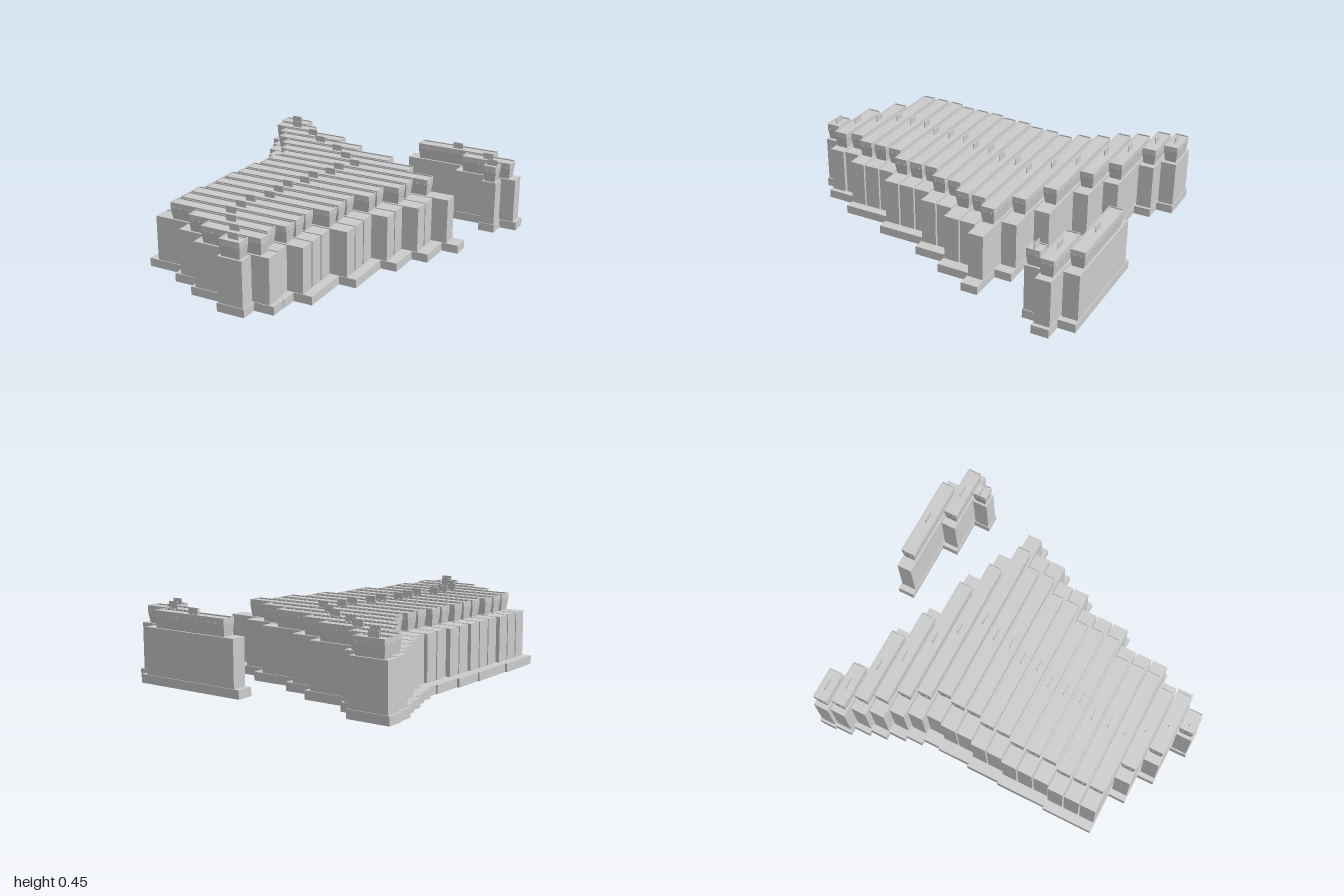
import * as THREE from 'three';

const mat = new THREE.MeshStandardMaterial({ color: 0xcccccc, flatShading: true, side: THREE.DoubleSide });

// Each entry: row index from the back, left edge and right edge of its plinth
const ROWS = [
  [0, -0.88, -0.625], [1, -0.87, -0.52], [2, -0.825, -0.215], [3, -0.80, -0.013],
  [4, -0.76, 0.293], [5, -0.737, 0.5], [6, -0.71, 0.70],
  [7, -0.72, 0.60], [8, -0.72, 0.60], [9, -0.737, 0.5], [10, -0.737, 0.5],
  [11, -0.747, 0.40], [12, -0.747, 0.40], [13, -0.747, 0.40],
  [14, -0.76, 0.293], [15, -0.76, 0.293], [16, -0.76, 0.293],
  [17, -0.515, 0.182], [18, -0.34, 0.18], [19, -0.108, 0.06],
  // detached corner group
  [0, 0.06, 0.765], [1, 0.437, 0.872], [2, 0.668, 0.768],
];

function add(group, name, geo, y = 0) {
  const mesh = new THREE.Mesh(geo, mat);
  mesh.name = name;
  mesh.position.y = y;
  group.add(mesh);
  return mesh;
}

// Box standing on y0, whose lower end can be pulled in by (dx, dz) per side
function block(w, d, y0, y1, dx = 0, dz = 0) {
  const geo = new THREE.BoxGeometry(w, y1 - y0, d).translate(0, (y0 + y1) / 2, 0);
  const p = geo.attributes.position;
  for (let i = 0; i < p.count; i++) {
    if (p.getY(i) > (y0 + y1) / 2) continue;
    p.setX(i, p.getX(i) - Math.sign(p.getX(i)) * dx);
    p.setZ(i, p.getZ(i) - Math.sign(p.getZ(i)) * dz);
  }
  return geo;
}

// Box without its underside
function openBox(w, d, h) {
  const geo = block(w, d, 0, h);
  const index = Array.from(geo.index.array);
  index.splice(18, 6);
  geo.setIndex(index);
  geo.clearGroups();
  return geo;
}

function roundedRect(path, w, d, r) {
  const x = w / 2, y = d / 2;
  path.moveTo(-x + r, -y);
  path.lineTo(x - r, -y);
  path.quadraticCurveTo(x, -y, x, -y + r);
  path.lineTo(x, y - r);
  path.quadraticCurveTo(x, y, x - r, y);
  path.lineTo(-x + r, y);
  path.quadraticCurveTo(-x, y, -x, y - r);
  path.lineTo(-x, -y + r);
  path.quadraticCurveTo(-x, -y, -x + r, -y);
  return path;
}

// Thin raised frame round the top of a slab
function rimFrame(w, d, h) {
  const shape = roundedRect(new THREE.Shape(), w, d, 0.006);
  shape.holes.push(roundedRect(new THREE.Path(), w - 0.01, d - 0.01, 0.004));
  return new THREE.ExtrudeGeometry(shape, { depth: h, bevelEnabled: false, curveSegments: 2 }).rotateX(-Math.PI / 2);
}

function makeSlab(w) {
  const slab = new THREE.Group();
  slab.name = 'slab';
  const topW = 0.697 * w + 0.012, topD = 0.084;

  add(slab, 'plinth', openBox(w, 0.1, 0.05));
  add(slab, 'body', block(w * 0.895, 0.09, 0.05, 0.317));
  add(slab, 'neck', block(topW - 0.002, topD - 0.002, 0.317, 0.385, 0.008, 0.008));
  add(slab, 'capFloor', block(topW - 0.008, topD - 0.008, 0.385, 0.409));
  add(slab, 'capRim', rimFrame(topW, topD, 0.031), 0.385);
  add(slab, 'topFin', block(0.064, 0.004, 0.409, 0.446));

  // Row of small studs under the rim, on all four sides
  const stud = new THREE.BoxGeometry(0.014, 0.006, 0.004);
  const count = Math.max(2, Math.round(topW / 0.045));
  for (const side of [-1, 1]) {
    for (let i = 0; i < count; i++) {
      const m = add(slab, 'rimStud', stud, 0.386);
      m.position.x = ((i + 0.5) / count - 0.5) * topW;
      m.position.z = side * (topD / 2);
    }
    for (const z of [-0.02, 0.02]) {
      const m = add(slab, 'rimStud', stud, 0.386);
      m.rotation.y = Math.PI / 2;
      m.position.x = side * (topW / 2);
      m.position.z = z;
    }
  }
  return slab;
}

export function createModel() {
  const model = new THREE.Group();
  model.name = 'steppedSlabs';
  for (const [row, x0, x1] of ROWS) {
    const slab = makeSlab(x1 - x0);
    slab.position.set((x0 + x1) / 2, 0, -0.95 + row * 0.1);
    model.add(slab);
  }
  return model;
}
